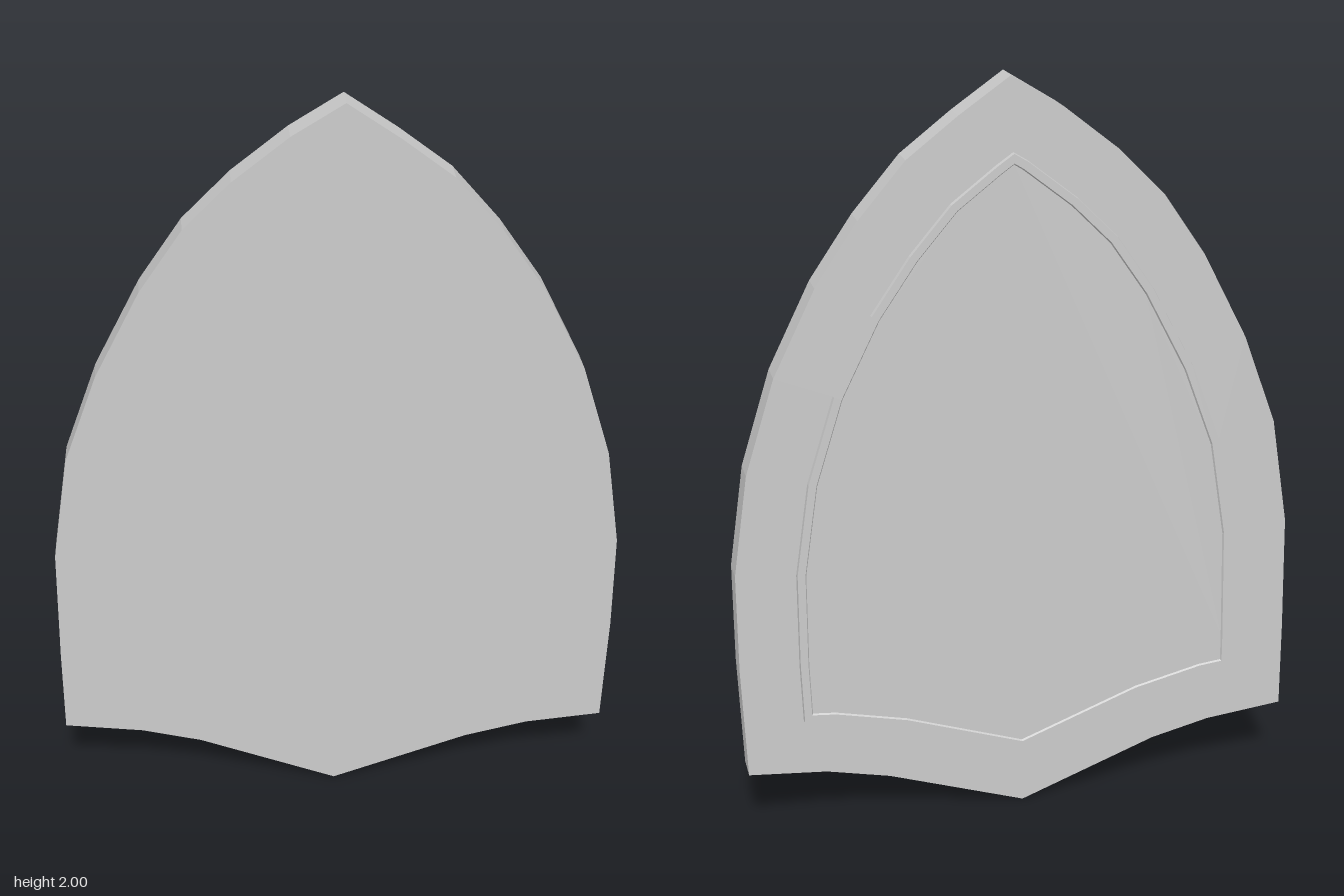
import * as THREE from 'three';

// Outline, clockwise from the tip; index 12 is the bottom point
const outline = [
  [0.02, 2], [0.15, 1.91], [0.28, 1.81], [0.4, 1.67], [0.51, 1.51], [0.62, 1.29],
  [0.7, 1.04], [0.742, 0.77], [0.745, 0.5], [0.737, 0.19], [0.53, 0.17], [0.36, 0.13],
  [-0.01, 0], [-0.38, 0.145], [-0.54, 0.185], [-0.75, 0.21], [-0.747, 0.45], [-0.738, 0.77],
  [-0.69, 1.06], [-0.6, 1.3], [-0.48, 1.53], [-0.37, 1.69], [-0.25, 1.81], [-0.11, 1.92],
].map(([x, y]) => new THREE.Vector2(x, y));
const N = outline.length;
const BOTTOM = 12;

// Offsets the outline inward with mitred corners
function inset(d) {
  const normal = (a, b) => new THREE.Vector2(b.y - a.y, a.x - b.x).normalize();
  return outline.map((p, i) => {
    const n1 = normal(outline[(i + N - 1) % N], p);
    const n2 = normal(p, outline[(i + 1) % N]);
    return p.clone().addScaledVector(n1.clone().add(n2), d / (1 + n1.dot(n2)));
  });
}

// Gives points depth: slightly turned, with a soft fold along the centre line
function ring(points, z) {
  return points.map((p) => {
    const d = p.x - (-0.01 + 0.015 * p.y);
    return new THREE.Vector3(p.x, p.y, z + 0.028 * d - 0.011 * Math.abs(d));
  });
}

// Joins successive rings with quads
function loft(rings) {
  const tris = [];
  for (let r = 0; r < rings.length - 1; r++) {
    const [a, b] = [rings[r], rings[r + 1]];
    for (let i = 0; i < N; i++) {
      const j = (i + 1) % N;
      tris.push(a[i], a[j], b[i], a[j], b[j], b[i]);
    }
  }
  return tris;
}

// Fills a ring as two flat halves; dir is +1 for front, -1 for back
function cap(points, dir) {
  const tris = [];
  for (const half of [points.slice(0, BOTTOM + 1), [...points.slice(BOTTOM), points[0]]]) {
    const flat = half.map((p) => new THREE.Vector2(p.x, p.y));
    for (const [a, b, c] of THREE.ShapeUtils.triangulateShape(flat, [])) {
      const area = THREE.ShapeUtils.area([flat[a], flat[b], flat[c]]);
      tris.push(half[a], ...(area * dir > 0 ? [half[b], half[c]] : [half[c], half[b]]));
    }
  }
  return tris;
}

export function createModel() {
  const group = new THREE.Group();
  group.name = 'shieldPlate';
  const material = new THREE.MeshStandardMaterial({ color: 0xcccccc, flatShading: true });
  const add = (name, tris) => {
    const geometry = new THREE.BufferGeometry().setFromPoints(tris);
    geometry.computeVertexNormals();
    const mesh = new THREE.Mesh(geometry, material);
    mesh.name = name;
    group.add(mesh);
  };

  const front = ring(outline, 0.045);
  const back = ring(outline, -0.03);
  const rimFoot = ring(inset(0.155), -0.03);
  const rimTop = ring(inset(0.157), -0.04);
  const rimInner = ring(inset(0.177), -0.04);
  const panel = ring(inset(0.18), -0.035);

  // Plate with its edge and back border
  add('plate', [...cap(front, 1), ...loft([front, back, rimFoot])]);
  // Thin raised lip on the back
  add('backRim', loft([rimFoot, rimTop, rimInner, panel]));
  // Panel inside the lip
  add('backPanel', cap(panel, -1));
  return group;
}
